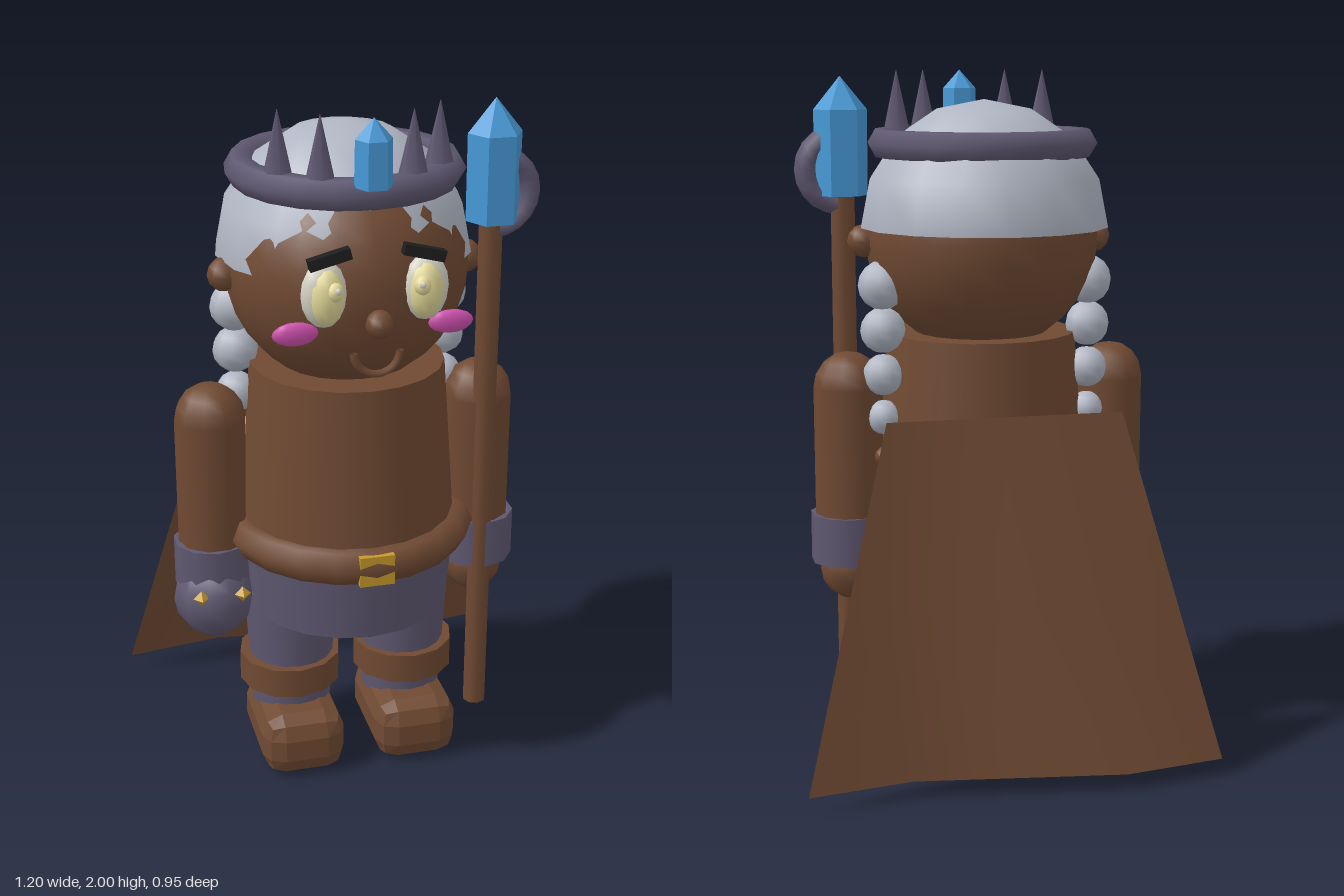
import * as THREE from 'three';
import { RoundedBoxGeometry } from 'three/addons/geometries/RoundedBoxGeometry.js';

const mat = (name, color, side = THREE.FrontSide) => {
  const m = new THREE.MeshStandardMaterial({ color, side });
  m.name = name;
  return m;
};

function flat(geo) {
  const g = geo.index ? geo.toNonIndexed() : geo;
  g.computeVertexNormals();
  return g;
}

export function createModel() {
  const root = new THREE.Group();
  root.name = 'dwarfKing';
  const brown = mat('brown', 0x704a33, THREE.DoubleSide);
  const purple = mat('purple', 0x5f5871);
  const grey = mat('hairGrey', 0xb0b6c3, THREE.DoubleSide);
  const blue = mat('crystalBlue', 0x4799d6);
  const pink = mat('pink', 0xd052b0);
  const gold = mat('gold', 0xc79a2c);
  const black = mat('black', 0x1e1e20);
  const cream = mat('cream', 0xe6dc9c);
  const pale = mat('paleWhite', 0xd6d4c6);

  const add = (name, geo, material, x, y, z, parent = root) => {
    const m = new THREE.Mesh(geo, material);
    m.name = name;
    m.position.set(x, y, z);
    parent.add(m);
    return m;
  };
  const ball = (name, material, x, y, z, rx, ry = rx, rz = rx, w = 12, h = 8) => {
    const m = add(name, new THREE.SphereGeometry(1, w, h), material, x, y, z);
    m.scale.set(rx, ry, rz);
    return m;
  };
  // frustum between two heights
  const tube = (name, material, x, z, y0, y1, r0, r1 = r0, sides = 16) =>
    add(name, new THREE.CylinderGeometry(r1, r0, y1 - y0, sides), material, x, (y0 + y1) / 2, z);
  const ring = (name, material, y, z, R, r) => {
    const m = add(name, new THREE.TorusGeometry(R, r, 6, 20), material, 0, y, z);
    m.rotation.x = Math.PI / 2;
    return m;
  };
  // six-sided crystal: prism with a pointed top
  const crystal = (name, x, z, y0, y1, y2, r0, r1) => {
    const pts = [[0, y0], [r0, y0], [r1, y1], [0, y2]].map(p => new THREE.Vector2(...p));
    const m = add(name, flat(new THREE.LatheGeometry(pts, 6)), blue, x, 0, z);
    m.rotation.y = Math.PI / 6;
    return m;
  };

  // body
  tube('torso', brown, 0, 0.08, 0.7, 1.25, 0.318, 0.278, 20);
  ring('belt', brown, 0.745, 0.08, 0.315, 0.055);
  add('buckle', new THREE.BoxGeometry(0.1, 0.09, 0.04), gold, 0, 0.743, 0.417);
  tube('hips', purple, 0, 0.08, 0.5, 0.72, 0.298, 0.318, 20);

  // head and face
  ball('head', brown, 0, 1.53, 0.07, 0.34, 0.34, 0.34, 20, 16);
  add('hair', new THREE.SphereGeometry(0.36, 16, 4, 0, Math.PI * 2, 0, Math.PI / 2), grey, 0, 1.56, 0.03);
  ball('nose', brown, 0, 1.47, 0.432, 0.039, 0.039, 0.039, 8, 6);
  const mouth = add('mouth', new THREE.TorusGeometry(0.063, 0.011, 6, 12, Math.PI), brown, 0, 1.385, 0.408);
  mouth.rotation.z = Math.PI;

  for (const s of [-1, 1]) {
    // face pairs
    ball('ear', brown, s * 0.345, 1.52, 0.075, 0.048, 0.048, 0.048, 8, 6);
    ball('eyeRim', pale, s * 0.138, 1.548, 0.385, 0.063, 0.092, 0.04);
    ball('eye', cream, s * 0.134, 1.545, 0.395, 0.05, 0.08, 0.042);
    ball('pupil', cream, s * 0.118, 1.565, 0.425, 0.024, 0.027, 0.022, 8, 6);
    ball('eyeGlint', pale, s * 0.114, 1.572, 0.442, 0.01, 0.01, 0.008, 6, 4);
    ball('cheek', pink, s * 0.213, 1.44, 0.373, 0.063, 0.033, 0.017);
    const brow = add('eyebrow', new THREE.BoxGeometry(0.115, 0.03, 0.028), black, s * 0.127, 1.648, 0.4);
    brow.rotation.z = -s * 0.25;

    // braids ending in a small bead
    [[1.4, 0.071], [1.27, 0.066], [1.14, 0.06], [1.015, 0.05]].forEach(([y, r]) =>
      ball('braid', grey, s * 0.305, y, 0, r, r, r, 10, 8));
    ball('braidBead', brown, s * 0.305, 0.9, -0.01, 0.03, 0.03, 0.03, 8, 6);

    // crown spikes
    for (const [x, z] of [[0.22, 0.215], [0.125, 0.295]]) {
      tube('crownSpike', purple, s * x, z, 1.82, 2, 0.042, 0.001, 6);
    }

    // legs
    tube('leg', purple, s * 0.172, 0.08, 0.16, 0.55, 0.118, 0.14);
    tube('bootCuff', brown, s * 0.176, 0.08, 0.235, 0.325, 0.152, 0.152, 12);
    add('shoe', flat(new RoundedBoxGeometry(0.25, 0.19, 0.36, 1, 0.062)), brown, s * 0.173, 0.095, 0.125);

    // arms
    add('arm', new THREE.CapsuleGeometry(0.102, 0.42, 4, 10), brown, s * 0.397, 0.888, 0.073);
    tube('wristCuff', purple, s * 0.402, 0.075, 0.575, 0.72, 0.112, 0.112, 10);
  }

  // crown
  ring('crownBand', purple, 1.797, 0.055, 0.287, 0.045);
  crystal('crownCrystal', 0, 0.36, 1.82, 1.945, 2, 0.052, 0.05);

  // hands
  ball('leftHand', brown, 0.397, 0.55, 0.075, 0.09, 0.095, 0.085, 10, 8);
  ball('rightFist', purple, -0.405, 0.545, 0.1, 0.118, 0.125, 0.12, 10, 8);
  for (const x of [-0.458, -0.338]) {
    add('fistStud', flat(new THREE.OctahedronGeometry(0.024)), gold, x, 0.59, 0.2);
  }

  // staff
  tube('staffPole', brown, 0.392, 0.155, 0.1, 1.66, 0.035, 0.035, 8);
  crystal('staffCrystal', 0.395, 0.155, 1.645, 1.89, 1.985, 0.077, 0.078);
  const hook = add('staffHook', new THREE.TorusGeometry(0.098, 0.032, 6, 10, Math.PI), purple, 0.402, 1.72, 0.155);
  hook.rotation.z = -Math.PI / 2;

  // cape: flares and waves towards the hem
  const cape = new THREE.PlaneGeometry(1, 1, 4, 2);
  const p = cape.attributes.position;
  for (let i = 0; i < p.count; i++) {
    const u = p.getX(i) * 2, t = 0.5 - p.getY(i);
    p.setXYZ(i, u * (0.34 + 0.26 * t), 1.05 - t, -0.247 - t * (0.186 - 0.045 * Math.sin(u * Math.PI)));
  }
  cape.computeVertexNormals();
  add('cape', cape, brown, 0, 0, 0);

  return root;
}
